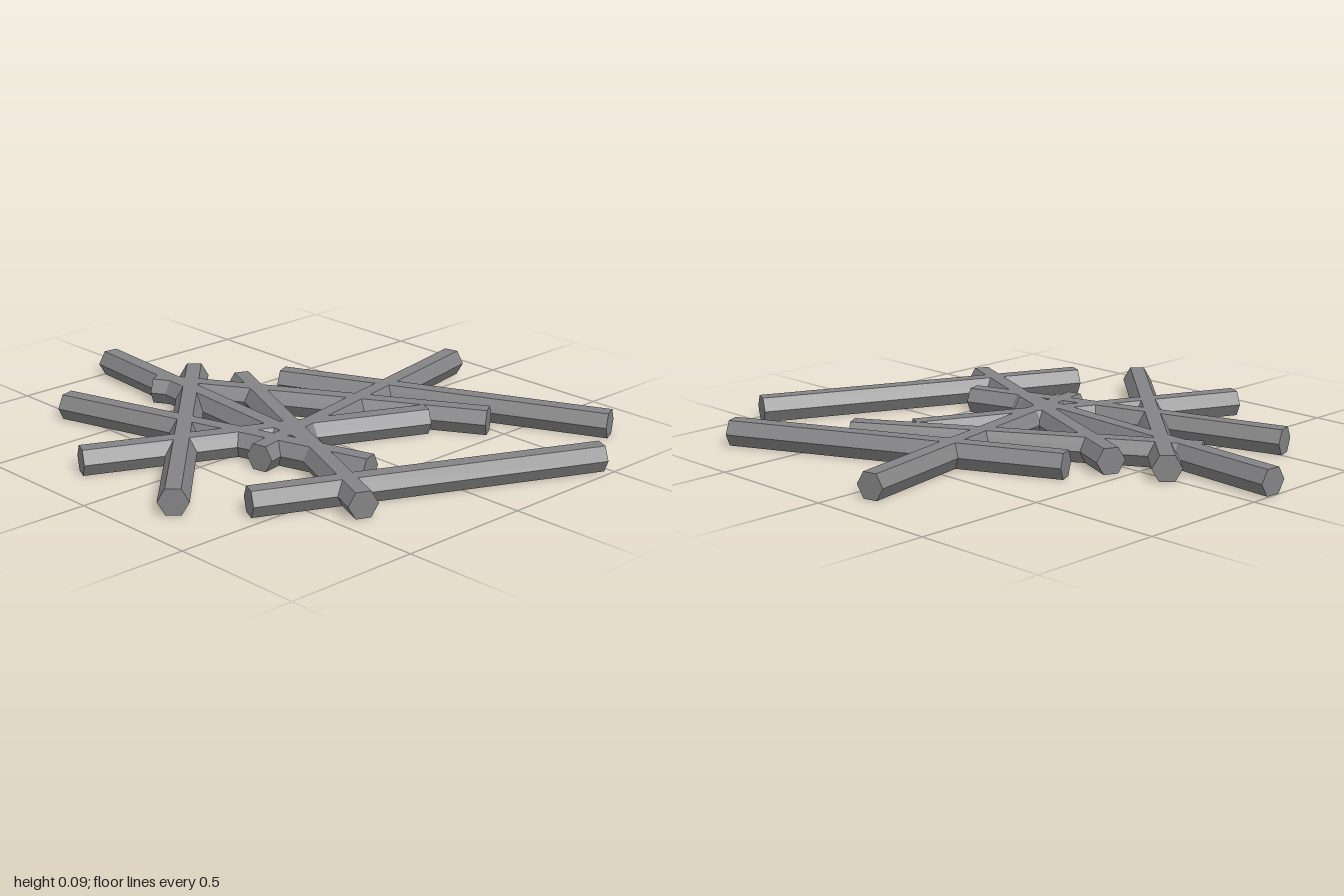
import * as THREE from 'three';

// Each rod: [x1, z1, x2, z2], the centres of its two ends
const RODS = [
  [-0.103, -0.995, -0.21, 0.26],
  [-0.526, -0.714, -0.172, 0.497],
  [-0.659, 0.428, 0.489, 0.95],
  [0.23, -0.376, 0.759, 0.772],
  [-0.828, -0.233, 0.315, 0.287],
  [-0.839, 0.265, 0.029, -0.651],
  [0.093, -0.455, -0.41, 0.704],
  [0.468, 0.45, -0.177, -0.63],
  [0.865, -0.095, -0.378, 0.164],
];
const RADIUS = 0.0535;
const LENGTH = 1.26;

export function createModel() {
  const group = new THREE.Group();
  group.name = 'rodPile';

  const steel = new THREE.MeshStandardMaterial({ color: 0x848486, flatShading: true });
  steel.name = 'grey steel';

  // Hexagonal rod along x, lying on a flat face
  const rodGeometry = new THREE.CylinderGeometry(RADIUS, RADIUS, LENGTH, 6);
  rodGeometry.rotateZ(Math.PI / 2);

  // Rods scattered on the ground, crossing through each other
  RODS.forEach(([x1, z1, x2, z2], i) => {
    const rod = new THREE.Mesh(rodGeometry, steel);
    rod.name = `hexRod${i + 1}`;
    rod.position.set((x1 + x2) / 2, RADIUS * Math.cos(Math.PI / 6), (z1 + z2) / 2);
    rod.rotation.y = -Math.atan2(z2 - z1, x2 - x1);
    group.add(rod);
  });

  return group;
}
